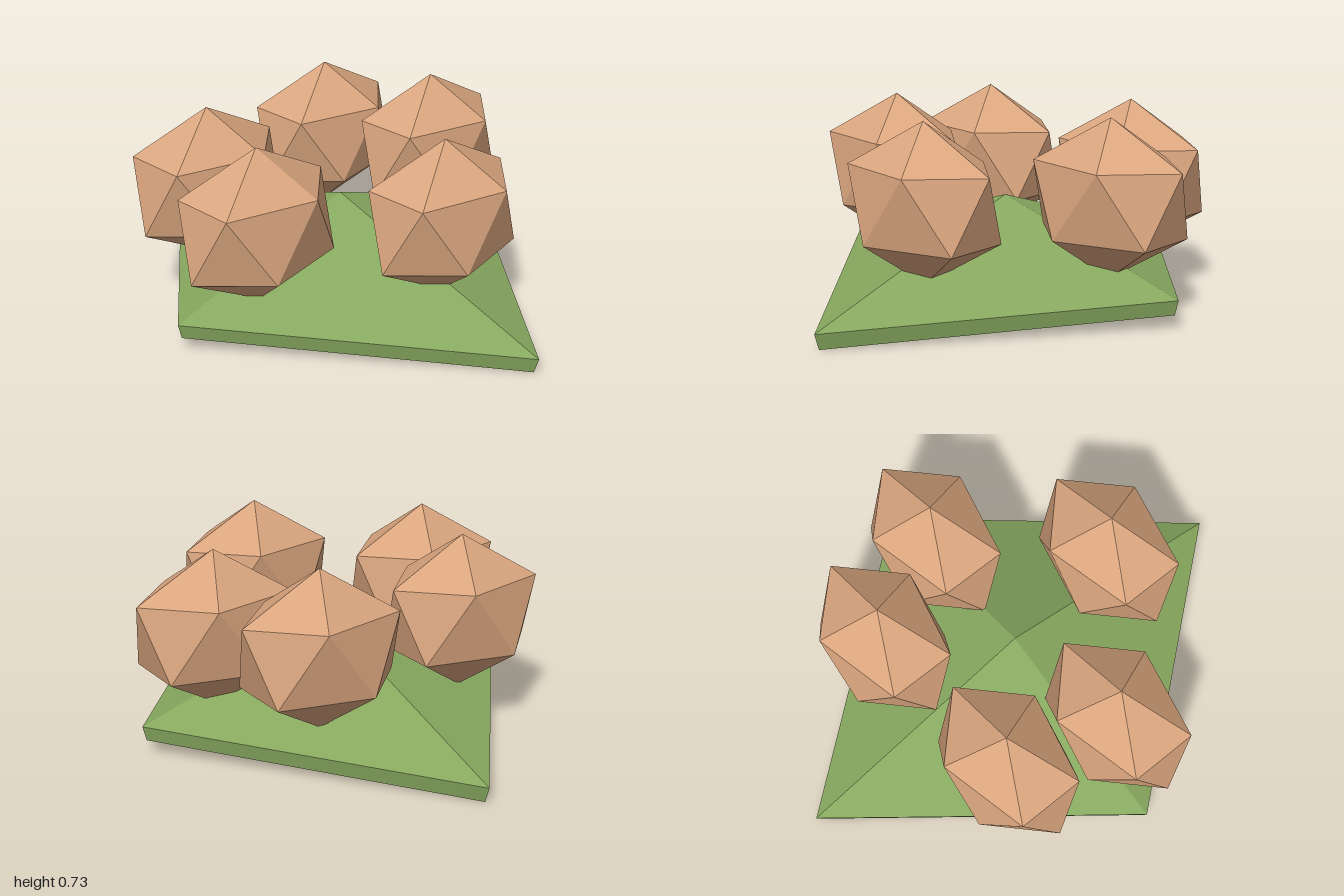
import * as THREE from 'three';

const leafGreen = new THREE.MeshStandardMaterial({ color: 0x87a85f, flatShading: true });
leafGreen.name = 'leafGreen';
const warmTan = new THREE.MeshStandardMaterial({ color: 0xd9a57e, flatShading: true });
warmTan.name = 'warmTan';

// Four corners of a diamond outline, side corners sitting higher than front and back ones
function diamond(halfX, sideY, halfZ, endY) {
  return [[halfX, sideY, 0], [0, endY, halfZ], [-halfX, sideY, 0], [0, endY, -halfZ]];
}

// Thin hollow pyramid: sloping top, narrow rim, recessed underside
function leafGeometry() {
  const top = diamond(0.81, 0.11, 1, 0.06);
  const low = diamond(0.795, 0.053, 0.98, 0);
  const topPeak = [0, 0.38, 0];
  const lowPeak = [0, 0.327, 0];
  const points = [];
  for (let i = 0; i < 4; i++) {
    const j = (i + 1) % 4;
    points.push(topPeak, top[j], top[i]);
    points.push(top[j], low[j], low[i], top[j], low[i], top[i]);
    points.push(lowPeak, low[i], low[j]);
  }
  const geometry = new THREE.BufferGeometry();
  geometry.setAttribute('position', new THREE.Float32BufferAttribute(points.flat(), 3));
  geometry.computeVertexNormals();
  return geometry;
}

// Icosahedron standing on a point, stretched sideways
function dumplingGeometry() {
  const geometry = new THREE.IcosahedronGeometry(1, 0);
  geometry.rotateX(-Math.atan((1 + Math.sqrt(5)) / 2));
  geometry.rotateY(Math.PI / 2);
  geometry.scale(0.35, 0.3, 0.25);
  geometry.computeVertexNormals();
  return geometry;
}

export function createModel() {
  const model = new THREE.Group();
  model.name = 'dumplingsOnLeaf';

  const leaf = new THREE.Mesh(leafGeometry(), leafGreen);
  leaf.name = 'leaf';
  model.add(leaf);

  // Five dumplings spread in a ring
  const shape = dumplingGeometry();
  const spots = [[0.5, 0], [0.04, 0.495], [-0.495, 0.085], [-0.37, -0.34], [0.3, -0.4]];
  spots.forEach(([x, z], i) => {
    const dumpling = new THREE.Mesh(shape, warmTan);
    dumpling.name = `dumpling${i + 1}`;
    dumpling.position.set(x, 0.435, z);
    model.add(dumpling);
  });

  return model;
}
